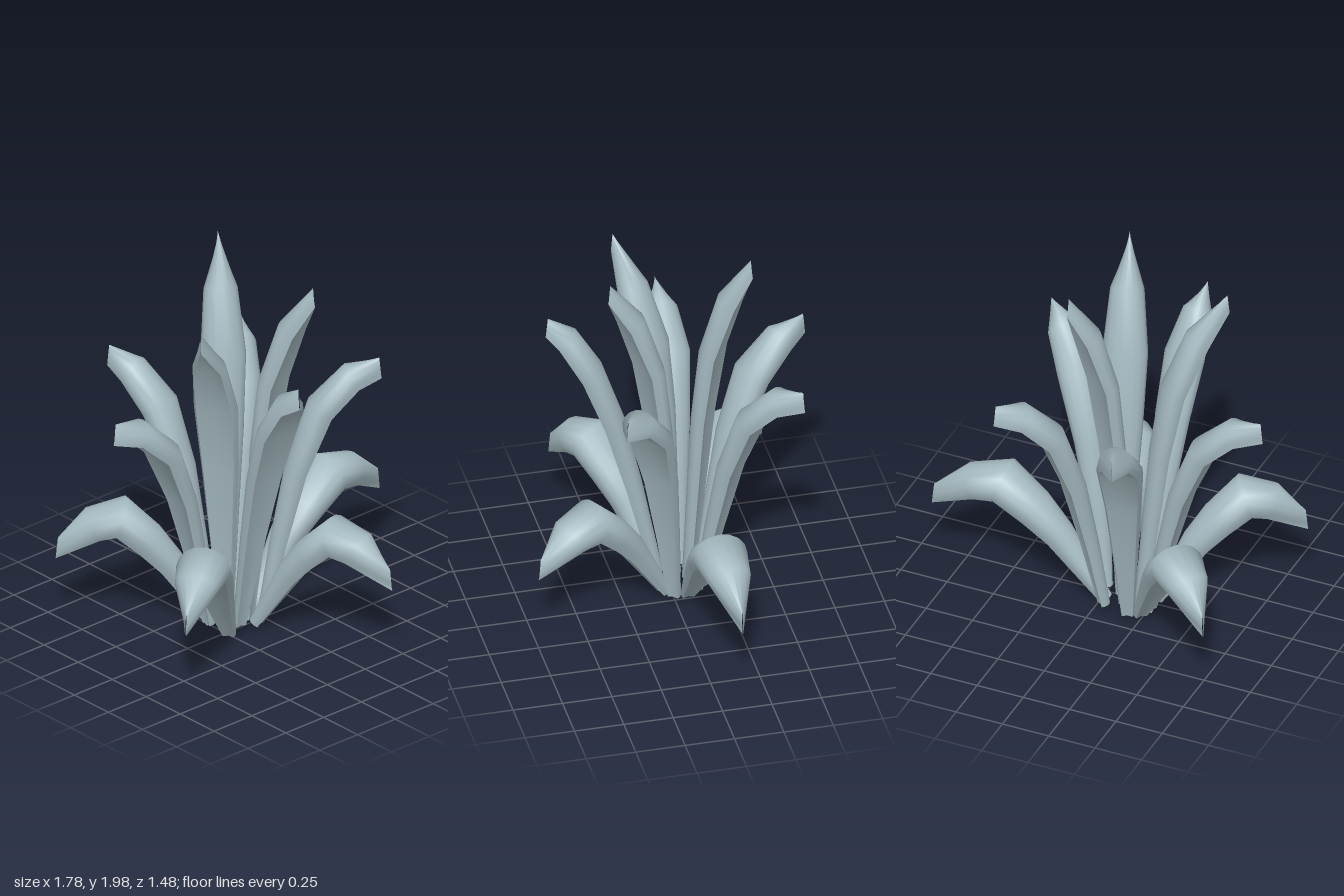
import * as THREE from 'three';

// Rings along a leaf: [distance 0..1, height 0..1, half width, thickness]
const PROFILES = {
  drooping: [
    [0, 0.03, 0.035, 0.06], [0.26, 0.36, 0.085, 0.125], [0.40, 0.49, 0.115, 0.145],
    [0.585, 0.622, 0.14, 0.165], [0.77, 0.578, 0.112, 0.145], [1, 0.432, 0.002, 0.115],
  ],
  arching: [
    [0, 0.035, 0.033, 0.055], [0.12, 0.30, 0.06, 0.08], [0.27, 0.585, 0.09, 0.105],
    [0.475, 0.82, 0.117, 0.125], [0.75, 0.938, 0.088, 0.125], [1, 0.96, 0.002, 0.115],
  ],
  leaning: [
    [0, 0.04, 0.033, 0.055], [0.22, 0.38, 0.07, 0.085], [0.39, 0.61, 0.095, 0.105],
    [0.59, 0.80, 0.112, 0.115], [0.81, 0.925, 0.08, 0.115], [1, 0.965, 0.002, 0.11],
  ],
  upright: [
    [0, 0.02, 0.033, 0.055], [0.11, 0.28, 0.065, 0.075], [0.21, 0.51, 0.095, 0.09],
    [0.36, 0.71, 0.114, 0.105], [0.64, 0.87, 0.085, 0.115], [1, 0.972, 0.002, 0.105],
  ],
};

// [profile, base x, base z, tip x, tip z, height]
const LEAVES = [
  ['drooping', -0.03, -0.07, 0.88, -0.13, 1],
  ['drooping', -0.08, 0.03, 0.19, 0.73, 1],
  ['drooping', -0.25, 0.03, -0.89, 0.42, 1],
  ['drooping', -0.23, -0.12, -0.80, -0.63, 1],
  ['arching', -0.27, -0.09, -0.885, -0.11, 1.335],
  ['arching', -0.19, -0.17, -0.36, -0.74, 1.36],
  ['arching', -0.05, -0.14, 0.35, -0.57, 1.38],
  ['arching', 0.0, 0.0, 0.46, 0.35, 1.425],
  ['leaning', -0.20, 0.04, -0.285, 0.58, 1.59],
  ['upright', -0.20, -0.05, -0.575, 0.18, 1.84],
  ['upright', -0.09, -0.02, 0.03, 0.34, 1.955],
  ['upright', -0.15, -0.10, 0.04, -0.38, 2],
];

// Cross-section: a dome with tucked-in rims, then a slightly hollow underside.
// The two lower edges are doubled so they stay sharp.
const ARC = 8, UNDER = 2;
const SECTION = [[-0.82, -0.5]];
for (let j = 0; j <= ARC; j++) {
  const a = Math.PI * (1 - j / ARC);
  SECTION.push([Math.cos(a), -0.18 + 0.68 * Math.sin(a)]);
}
SECTION.push([0.82, -0.5]);
const SEAM = SECTION.length - 1;
for (let j = 0; j <= UNDER; j++) {
  const u = 1 - 2 * j / UNDER;
  SECTION.push([0.82 * u, -0.5 + 0.12 * (1 - u * u)]);
}

function leafGeometry(profile, bx, bz, tx, tz, height) {
  const rings = PROFILES[profile];
  const length = Math.hypot(tx - bx, tz - bz);
  const dir = new THREE.Vector3((tx - bx) / length, 0, (tz - bz) / length);
  const side = new THREE.Vector3(dir.z, 0, -dir.x);
  const n = SECTION.length;
  const positions = [], index = [];

  rings.forEach(([f, h, w, t], i) => {
    // Sections stand square to the spine; the tip edge is upright
    const p = rings[Math.max(i - 1, 0)], q = rings[Math.min(i + 1, rings.length - 1)];
    const dr = (q[0] - p[0]) * length, dy = (q[1] - p[1]) * height;
    const k = Math.hypot(dr, dy);
    const tip = i === rings.length - 1;
    const nr = tip ? -0.1 : -dy / k, ny = tip ? 1 : dr / k;
    for (const [u, v] of SECTION) {
      const r = f * length + nr * v * t;
      positions.push(
        bx + dir.x * r + side.x * u * w,
        Math.max(0.005, h * height + ny * v * t),
        bz + dir.z * r + side.z * u * w);
    }
  });

  for (let i = 0; i < rings.length - 1; i++) {
    for (let j = 0; j < n - 1; j++) {
      if (j === SEAM) continue;
      const a = i * n + j, b = a + n;
      index.push(a, b, b + 1, a, b + 1, a + 1);
    }
  }

  // Cap at the base, with its own vertices
  const start = positions.length / 3;
  positions.push(...positions.slice(0, n * 3));
  const centre = start + n;
  positions.push(bx, rings[0][1] * height, bz);
  for (let j = 0; j < n - 1; j++) index.push(centre, start + j, start + j + 1);

  const geometry = new THREE.BufferGeometry();
  geometry.setAttribute('position', new THREE.Float32BufferAttribute(positions, 3));
  geometry.setIndex(index);
  geometry.computeVertexNormals();
  return geometry;
}

export function createModel() {
  const plant = new THREE.Group();
  plant.name = 'plant';
  const material = new THREE.MeshStandardMaterial({ color: 0xa5bac1 });
  material.name = 'pale blue grey';

  LEAVES.forEach((leaf, i) => {
    const mesh = new THREE.Mesh(leafGeometry(...leaf), material);
    mesh.name = `${leaf[0]}Leaf${i + 1}`;
    plant.add(mesh);
  });
  return plant;
}
